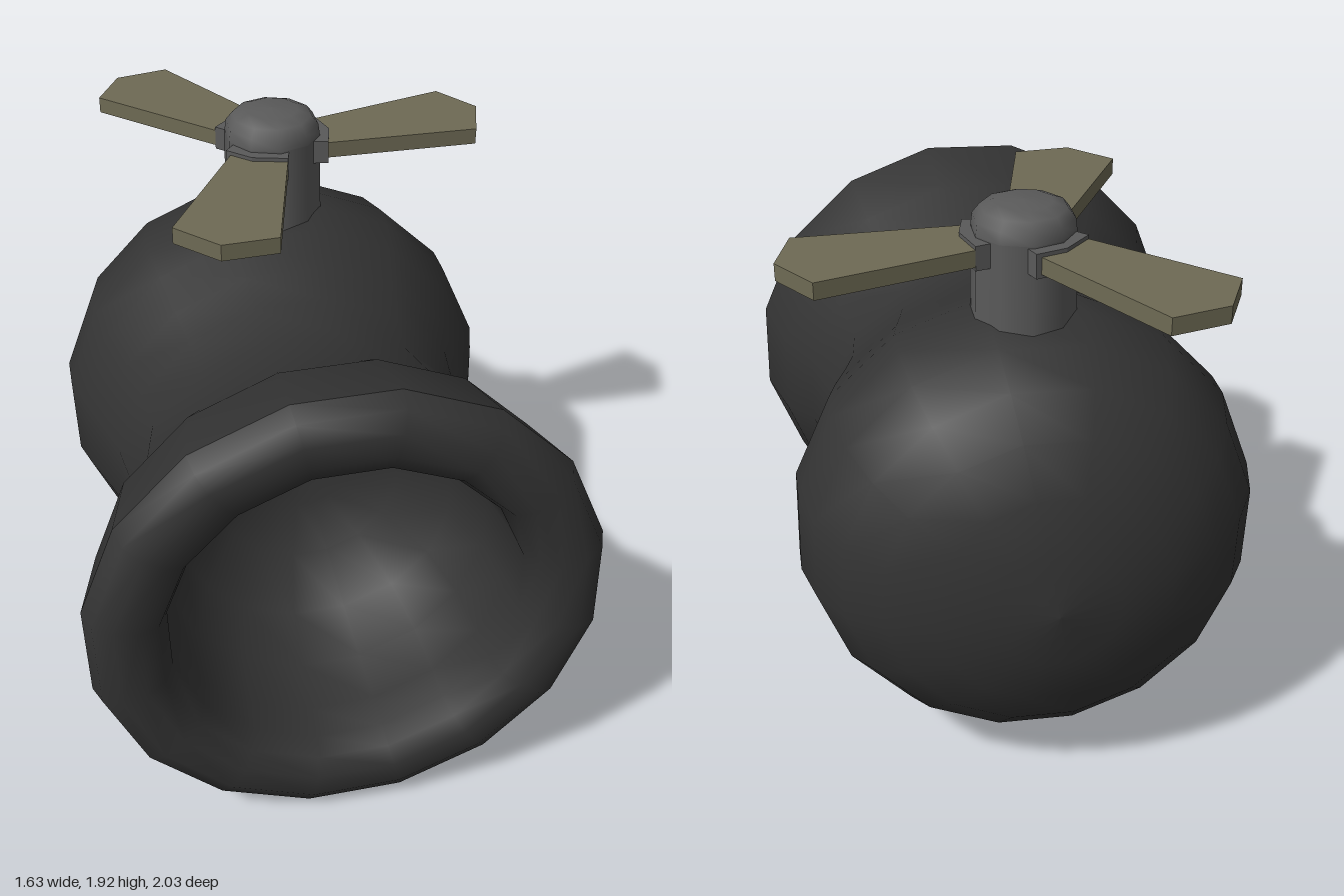
import * as THREE from 'three';

const bodyMat = new THREE.MeshStandardMaterial({ color: 0x333333 });
const hubMat = new THREE.MeshStandardMaterial({ color: 0x5a5a5a });
const bladeMat = new THREE.MeshStandardMaterial({ color: 0x6e6a54 });

const AXIS_Y = 0.817;
const HUB_Z = -0.382;
const rad = THREE.MathUtils.degToRad;
const toPoints = (list) => list.map(([a, b]) => new THREE.Vector2(a, b));

function mesh(name, geometry, material, parent) {
  const m = new THREE.Mesh(geometry, material);
  m.name = name;
  parent.add(m);
  return m;
}

// Lathe of [radius, z] pairs around the horizontal body axis
function bodyLathe(profile) {
  const g = new THREE.LatheGeometry(toPoints(profile), 16, rad(13));
  g.rotateX(Math.PI / 2);
  return g.translate(0, AXIS_Y, 0);
}

// Flat plate from an [x, z] outline, spanning y0 to y1
function plate(outline, y0, y1) {
  const shape = new THREE.Shape(toPoints(outline.map(([x, z]) => [x, -z])));
  const g = new THREE.ExtrudeGeometry(shape, { depth: y1 - y0, bevelEnabled: false });
  g.rotateX(-Math.PI / 2);
  return g.translate(0, y0, 0);
}

export function createModel() {
  const model = new THREE.Group();
  model.name = 'propellerCannon';

  // Outer shell: round back, narrow waist, flared mouth
  mesh('bodyShell', bodyLathe([
    [0, -1], [0.2, -0.975], [0.38, -0.92], [0.53, -0.84], [0.645, -0.735],
    [0.725, -0.6], [0.765, -0.44], [0.765, -0.32], [0.73, -0.2], [0.675, -0.04],
    [0.632, 0.1], [0.609, 0.27], [0.664, 0.51], [0.76, 0.65], [0.826, 0.9],
  ]), bodyMat, model);

  // Rolled lip and hollow interior
  mesh('mouth', bodyLathe([
    [0.826, 0.9], [0.8, 0.965], [0.74, 1], [0.66, 0.998], [0.6, 0.965], [0.568, 0.9],
    [0.565, 0.78], [0.54, 0.6], [0.47, 0.42], [0.32, 0.27], [0.15, 0.2], [0, 0.18],
  ]), bodyMat, model);

  // Rotor: stem, domed cap, three sockets and blades
  const rotor = new THREE.Group();
  rotor.name = 'rotor';
  rotor.position.set(0.005, 0, HUB_Z);
  model.add(rotor);

  mesh('stem', new THREE.CylinderGeometry(0.163, 0.169, 0.33, 10, 1, true)
    .translate(0, 1.665, 0), hubMat, rotor);
  mesh('cap', new THREE.LatheGeometry(toPoints([
    [0.163, 1.83], [0.158, 1.868], [0.135, 1.897], [0.09, 1.915], [0, 1.92],
  ]), 10), hubMat, rotor);

  for (let i = 0; i < 3; i++) {
    const arm = new THREE.Group();
    arm.name = 'arm' + (i + 1);
    arm.rotation.y = (i * Math.PI * 2) / 3;
    rotor.add(arm);
    mesh('socket', plate([
      [0.04, 0.08], [0.175, 0.1], [0.198, 0], [0.165, -0.115], [0.04, -0.08],
    ], 1.745, 1.825), hubMat, arm);
    mesh('blade', plate([
      [0.05, 0.085], [0.7, 0.075], [0.753, -0.105], [0.65, -0.258], [0.05, -0.08],
    ], 1.757, 1.812), bladeMat, arm);
  }
  return model;
}
